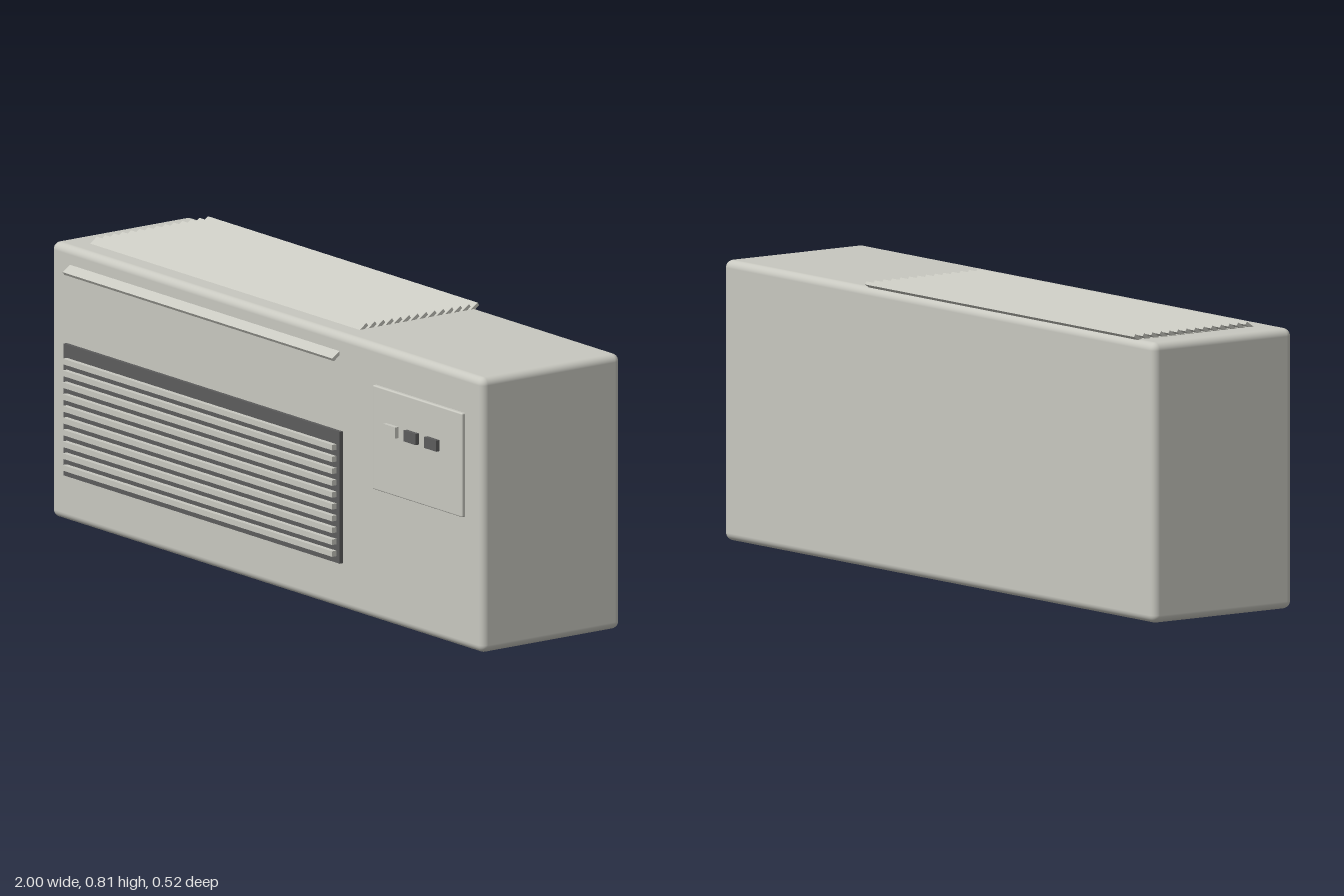
import * as THREE from 'three';
import { RoundedBoxGeometry } from 'three/addons/geometries/RoundedBoxGeometry.js';

export function createModel() {
  const model = new THREE.Group();
  model.name = 'airConditioner';
  const casing = new THREE.MeshStandardMaterial({ name: 'warm grey casing', color: 0xc8c8c0 });
  const dark = new THREE.MeshStandardMaterial({ name: 'dark grey', color: 0x5c5c5c });

  // Box from its limits on each axis; a radius rounds the edges
  function box(name, material, [x0, x1], [y0, y1], [z0, z1], radius = 0) {
    const size = [x1 - x0, y1 - y0, z1 - z0];
    const geometry = radius
      ? new RoundedBoxGeometry(...size, 4, radius)
      : new THREE.BoxGeometry(...size);
    const mesh = new THREE.Mesh(geometry, material);
    mesh.name = name;
    mesh.position.set((x0 + x1) / 2, (y0 + y1) / 2, (z0 + z1) / 2);
    model.add(mesh);
    return mesh;
  }

  const slatX = [-0.91, 0.34];

  // Tilted louvre, falling toward the front
  function louvre(name, y, z) {
    const mesh = box(name, casing, slatX, [y - 0.005, y + 0.005], [z - 0.02, z + 0.02]);
    mesh.rotation.x = 0.6;
  }

  // Main casing
  box('body', casing, [-1, 1], [0, 0.793], [-0.255, 0.234], 0.022);

  // Intake grille with horizontal bars
  box('grilleBack', dark, [-0.925, 0.355], [0.134, 0.514], [0.2, 0.245]);
  for (let i = 0; i < 10; i++) {
    const y = 0.161 + i * 0.0341;
    box('grilleBar', casing, slatX, [y - 0.008, y + 0.008], [0.23, 0.26]);
  }

  // Top outlet louvres and the single front deflector
  for (let i = 0; i < 14; i++) louvre('topLouvre', 0.794, 0.1535 - i * 0.03);
  louvre('frontDeflector', 0.732, 0.2405);

  // Control panel with three buttons
  box('controlPanel', casing, [0.507, 0.922], [0.38, 0.68], [0.215, 0.245], 0.004);
  [0.6, 0.695, 0.79].forEach((x, i) => {
    box('button', i ? dark : casing, [x - 0.028, x + 0.028], [0.551, 0.583], [0.235, 0.257]);
  });

  return model;
}
